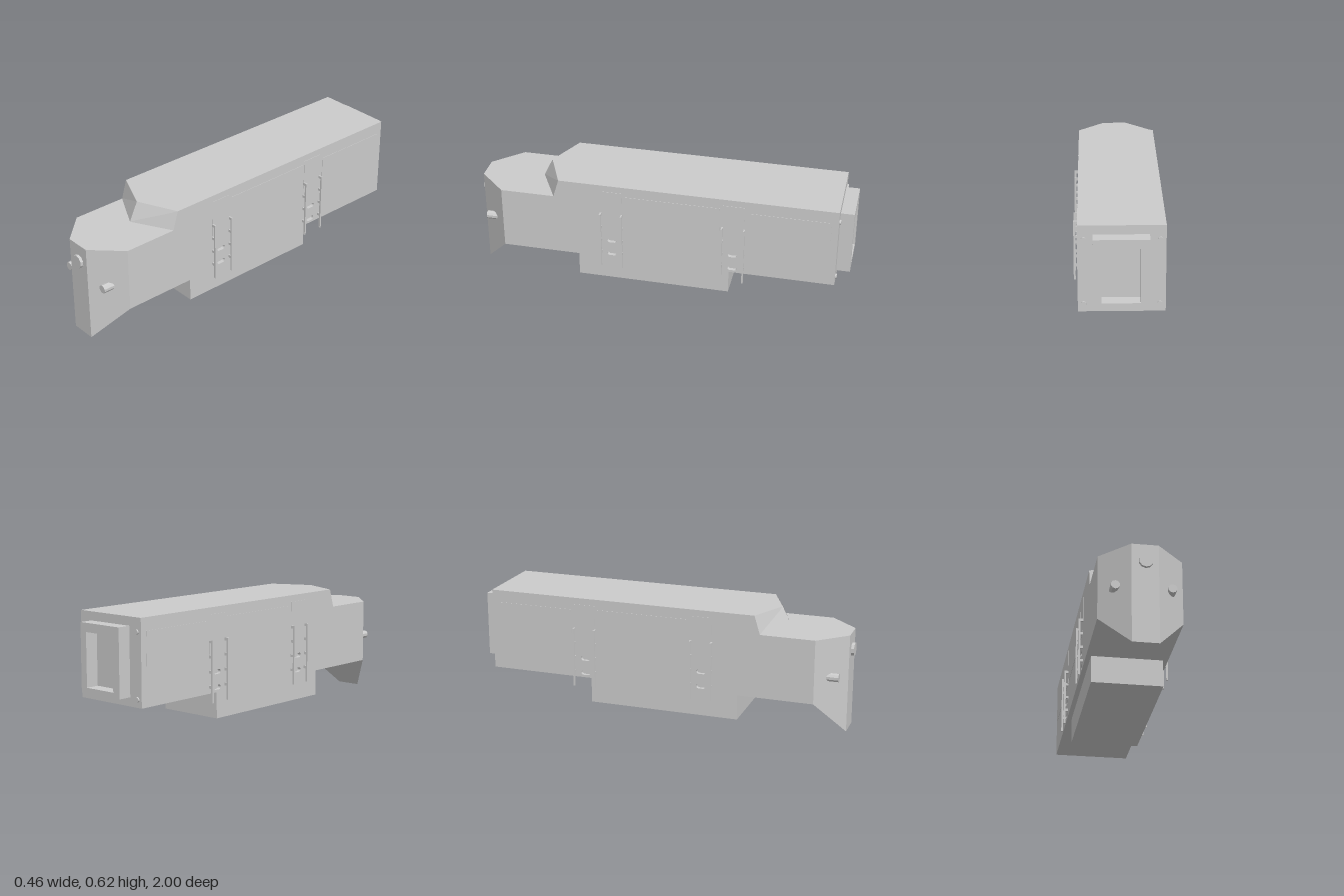
import * as THREE from 'three';

const mat = new THREE.MeshStandardMaterial({ color: 0xcccccc, flatShading: true });
const matThin = new THREE.MeshStandardMaterial({ color: 0xcccccc, flatShading: true, side: THREE.DoubleSide });

// Main dimensions: half width, nose half width, bottom, hood, roof, back, shoulder, nose tip
const W = 0.2075, N = 0.066, B = 0.18, H = 0.517, T = 0.615;
const ZB = -0.93, ZS = 0.84, ZN = 0.985;

export function createModel() {
  const model = new THREE.Group();
  model.name = 'locomotive';

  const add = (name, geo, x = 0, y = 0, z = 0, m = mat) => {
    const mesh = new THREE.Mesh(geo, m);
    mesh.name = name;
    mesh.position.set(x, y, z);
    model.add(mesh);
    return mesh;
  };
  const box = (name, x0, x1, y0, y1, z0, z1) =>
    add(name, new THREE.BoxGeometry(Math.abs(x1 - x0), y1 - y0, z1 - z0),
      (x0 + x1) / 2, (y0 + y1) / 2, (z0 + z1) / 2);
  const rod = (name, r, z0, z1, x, y, sides = 10) =>
    add(name, new THREE.CylinderGeometry(r, r, z1 - z0, sides).rotateX(Math.PI / 2), x, y, (z0 + z1) / 2);
  // Flat polygons, each fanned from its first corner
  const faces = (polys) => {
    const pos = [];
    for (const p of polys)
      for (let i = 1; i < p.length - 1; i++) pos.push(...p[0], ...p[i], ...p[i + 1]);
    const g = new THREE.BufferGeometry();
    g.setAttribute('position', new THREE.Float32BufferAttribute(pos, 3));
    g.computeVertexNormals();
    return g;
  };
  const mirrored = (p) => p.map(([x, y, z]) => [-x, y, z]).reverse();

  // Hull: roof, floor, back, hood, wedge nose and V-shaped windshield
  const cheek = [[N, 0, ZN], [W, B, ZS], [W, H, ZS], [N, H, ZN]];
  const shield = [[0, H, 0.665], [W, H, 0.555], [W, T, 0.525], [0, T, 0.617]];
  add('hull', faces([
    [[-W, T, ZB], [-W, T, 0.525], [0, T, 0.617], [W, T, 0.525], [W, T, ZB]],
    [[-W, B, ZS], [-W, B, ZB], [W, B, ZB], [W, B, ZS]],
    [[W, B, ZB], [-W, B, ZB], [-W, T, ZB], [W, T, ZB]],
    [[0, H, 0.665], [-W, H, 0.555], [-W, H, ZS], [-N, H, ZN], [N, H, ZN], [W, H, ZS], [W, H, 0.555]],
    [[-N, 0, ZN], [N, 0, ZN], [N, H, ZN], [-N, H, ZN]],
    [[-W, B, ZS], [W, B, ZS], [N, 0, ZN], [-N, 0, ZN]],
    cheek, mirrored(cheek), shield, mirrored(shield),
  ]));

  // Thin window panes on the windshield
  const [a, b, c, d] = shield.map((p) => new THREE.Vector3(...p));
  const on = (u, v) => {
    const p = a.clone().lerp(b, u).lerp(d.clone().lerp(c, u), v);
    return [p.x, p.y, p.z + 0.003];
  };
  const pane = [on(0.1, 0.12), on(0.93, 0.12), on(0.93, 0.92), on(0.1, 0.92)];
  add('windshieldPanes', faces([pane, mirrored(pane)]), 0, 0, 0, matThin);

  // Side walls with rounded foot pockets
  const ladders = [[0.19, 0.302], [-0.455, -0.34]];
  const steps = [0.205, 0.285];
  const wall = new THREE.Shape([[ZB, B], [ZS, B], [ZS, H], [0.555, H], [0.525, T], [ZB, T]]
    .map(([z, y]) => new THREE.Vector2(z, y)));
  for (const [z0, z1] of ladders)
    for (const y of steps) {
      const m = (z0 + z1) / 2, hole = new THREE.Path();
      hole.absarc(m + 0.013, y, 0.012, -Math.PI / 2, Math.PI / 2);
      hole.absarc(m - 0.013, y, 0.012, Math.PI / 2, Math.PI * 1.5);
      hole.closePath();
      wall.holes.push(hole);
    }
  const wallGeo = new THREE.ExtrudeGeometry(wall, { depth: 0.02, bevelEnabled: false, curveSegments: 4 });
  wallGeo.rotateY(-Math.PI / 2);

  for (const s of [1, -1]) {
    add('sideWall', wallGeo, s > 0 ? W : -W + 0.02);

    // Raised side panels
    const panel = (name, y0, y1, z0, z1) => box(name, s * (W - 0.002), s * (W + 0.002), y0, y1, z0, z1);
    panel('rearPanel', 0.38, 0.55, -0.895, -0.475);
    panel('middlePanel', 0.38, 0.56, -0.325, 0.175);

    for (const [z0, z1] of ladders) {
      panel('sideDoor', 0.38, 0.58, z0, z1);
      for (const y of steps)
        box('pocketBack', s * (W - 0.025), s * (W - 0.019), y - 0.02, y + 0.02, (z0 + z1) / 2 - 0.035, (z0 + z1) / 2 + 0.035);
      // Grab rails on short brackets
      for (const z of [z0, z1]) {
        box('grabRail', s * 0.222, s * 0.232, 0.135, 0.452, z - 0.004, z + 0.004);
        for (const y of [0.445, 0.368, 0.291, 0.214])
          box('railBracket', s * (W - 0.005), s * 0.223, y - 0.007, y + 0.007, z - 0.004, z + 0.004);
      }
    }

    // Side lamps on the nose and rear corner lamps
    rod('noseLamp', 0.022, 0.885, 0.952, s * 0.137, 0.31);
    for (const y of [0.22, 0.545]) rod('rearLamp', 0.013, ZB - 0.008, ZB + 0.005, s * 0.18, y);
  }

  // Headlight
  rod('headlight', 0.035, ZN - 0.01, 1.0, 0.0035, 0.425);

  // Fuel tank under the frame
  box('fuelTank', -0.1825, 0.1825, 0.037, B + 0.002, -0.375, 0.435);

  // Gangway frame around the rear doorway
  const rect = (P, x0, x1, y0, y1) =>
    new P([[x0, y0], [x1, y0], [x1, y1], [x0, y1]].map(([x, y]) => new THREE.Vector2(x, y)));
  const gangway = rect(THREE.Shape, -0.13, 0.135, 0.225, 0.57);
  gangway.holes.push(rect(THREE.Path, -0.087, 0.097, 0.252, 0.525));
  add('gangwayFrame', new THREE.ExtrudeGeometry(gangway, { depth: 0.07, bevelEnabled: false }), 0, 0, -1);

  // Sit slightly off the centre line
  for (const part of model.children) part.position.x -= 0.0035;
  return model;
}
